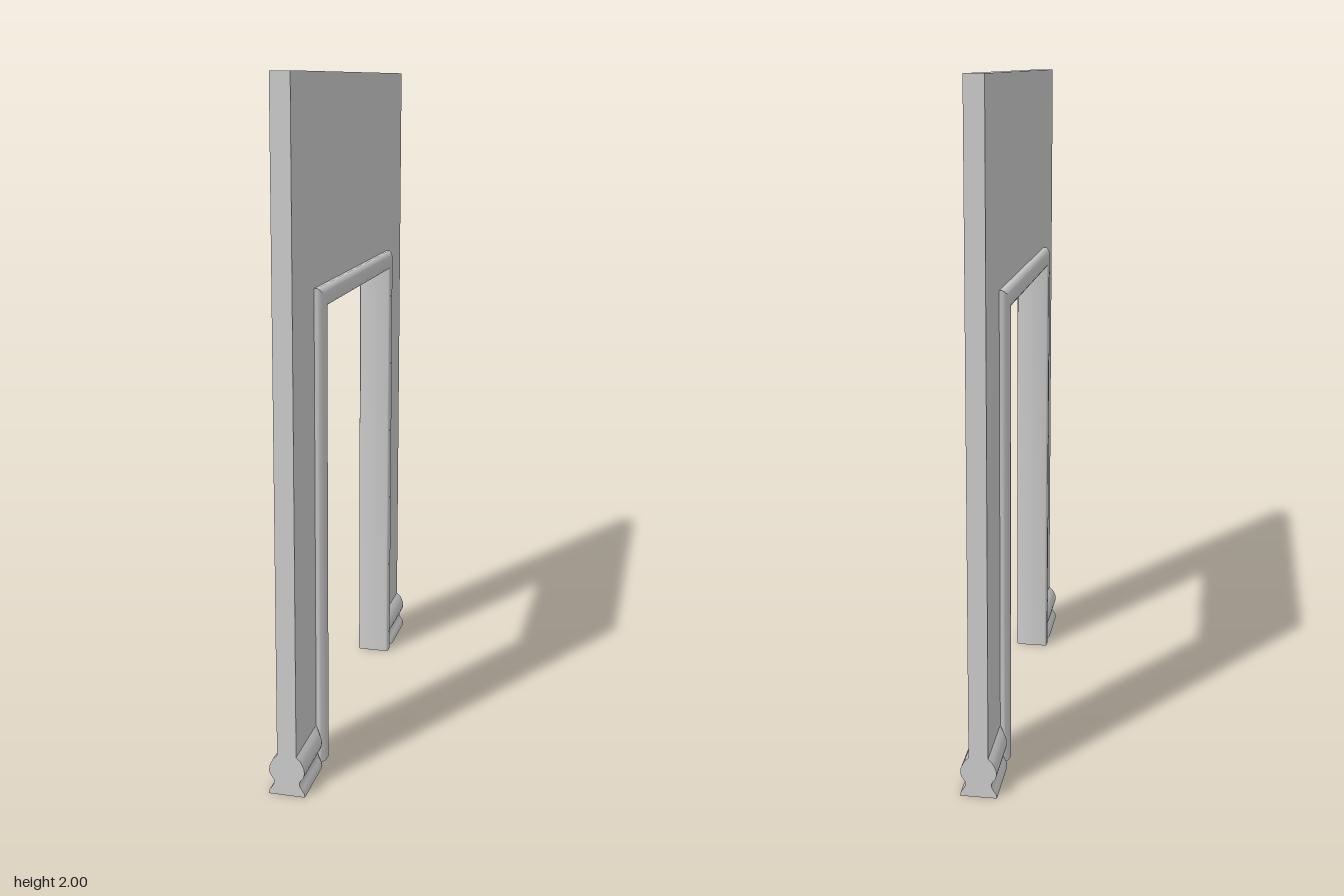
import * as THREE from 'three';
import { toCreasedNormals } from 'three/addons/utils/BufferGeometryUtils.js';

const WALL_X = 0.028, WALL_Z = 0.666, WALL_TOP = 2;
const OPEN_Z = 0.4, OPEN_TOP = 1.364, TRIM_W = 0.055;

const material = new THREE.MeshStandardMaterial({ color: 0xcccccc });

// Closed solid from matching cross-sections; profile is the flat 2D outline used for the caps.
function loft(profile, rings) {
  const n = profile.length, tris = [];
  for (let s = 0; s < rings.length - 1; s++) {
    for (let i = 0; i < n; i++) {
      const j = (i + 1) % n;
      const a = rings[s][i], b = rings[s][j], c = rings[s + 1][j], d = rings[s + 1][i];
      tris.push([a, b, c], [a, c, d]);
    }
  }
  const last = rings[rings.length - 1];
  for (const [i, j, k] of THREE.ShapeUtils.triangulateShape(profile, [])) {
    tris.push([rings[0][k], rings[0][j], rings[0][i]], [last[i], last[j], last[k]]);
  }
  // Turn the faces outward if the solid came out inverted
  let volume = 0;
  const cross = new THREE.Vector3();
  for (const [a, b, c] of tris) volume += a.dot(cross.crossVectors(b, c));
  if (volume < 0) tris.forEach((t) => t.reverse());

  const geometry = new THREE.BufferGeometry().setFromPoints(tris.flat());
  return toCreasedNormals(geometry, 0.7);
}

// Outline mirrored in x, running up the +x side and down the -x side, counter-clockwise
function mirroredOutline(half) {
  const right = half.map(([x, y]) => new THREE.Vector2(x, y));
  const left = half.map(([x, y]) => new THREE.Vector2(-x, y)).reverse();
  return [...right, ...left];
}

function addMesh(group, name, geometry) {
  const mesh = new THREE.Mesh(geometry, material);
  mesh.name = name;
  group.add(mesh);
}

// Wall panel with the doorway cut out; its inner edge is buried in the trim
function wallGeometry() {
  const z = OPEN_Z + 0.025, y = OPEN_TOP + 0.025;
  const outline = [
    [-WALL_Z, 0], [-z, 0], [-z, y], [z, y], [z, 0],
    [WALL_Z, 0], [WALL_Z, WALL_TOP], [-WALL_Z, WALL_TOP],
  ].map((p) => new THREE.Vector2(...p));
  return new THREE.ExtrudeGeometry(new THREE.Shape(outline), { depth: 2 * WALL_X, bevelEnabled: false })
    .translate(0, 0, -WALL_X)
    .rotateY(Math.PI / 2);
}

// Door casing swept around the opening with mitred corners
function trimGeometry() {
  // [half thickness, distance outward from the opening]
  const half = [
    [0.046, 0], [0.05, 0.002], [0.053, 0.008], [0.053, 0.026],
    [0.052, 0.035], [0.049, 0.043], [0.044, 0.05], [0.037, TRIM_W],
  ];
  const profile = mirroredOutline(half);
  const stations = [[1, 0], [1, 1], [-1, 1], [-1, 0]]; // side, at top
  const rings = stations.map(([side, top]) => profile.map((p) =>
    new THREE.Vector3(p.x, top * (OPEN_TOP + p.y), side * (OPEN_Z + p.y))));
  return loft(profile, rings);
}

// Skirting with a moulded profile, rounded in where it meets the trim
function skirtingGeometry(side) {
  const half = [
    [0.053, 0], [0.051, 0.012], [0.044, 0.022], [0.038, 0.033], [0.037, 0.043],
    [0.042, 0.051], [0.049, 0.06], [0.052, 0.072], [0.051, 0.085],
    [0.046, 0.097], [0.04, 0.108], [WALL_X, 0.12],
  ];
  const profile = mirroredOutline(half);
  const start = OPEN_Z + TRIM_W;
  const ends = [
    [start, 0.37], [start + 0.004, 0.55], [start + 0.01, 0.75],
    [start + 0.018, 0.92], [start + 0.027, 1], [WALL_Z, 1],
  ];
  const rings = ends.map(([z, swell]) => profile.map((p) => {
    const x = Math.sign(p.x) * (WALL_X + (Math.abs(p.x) - WALL_X) * swell);
    return new THREE.Vector3(x, p.y, side * z);
  }));
  return loft(profile, rings);
}

export function createModel() {
  const model = new THREE.Group();
  model.name = 'doorwayWall';
  addMesh(model, 'wallPanel', wallGeometry());
  addMesh(model, 'doorTrim', trimGeometry());
  addMesh(model, 'frontSkirting', skirtingGeometry(1));
  addMesh(model, 'backSkirting', skirtingGeometry(-1));
  return model;
}
